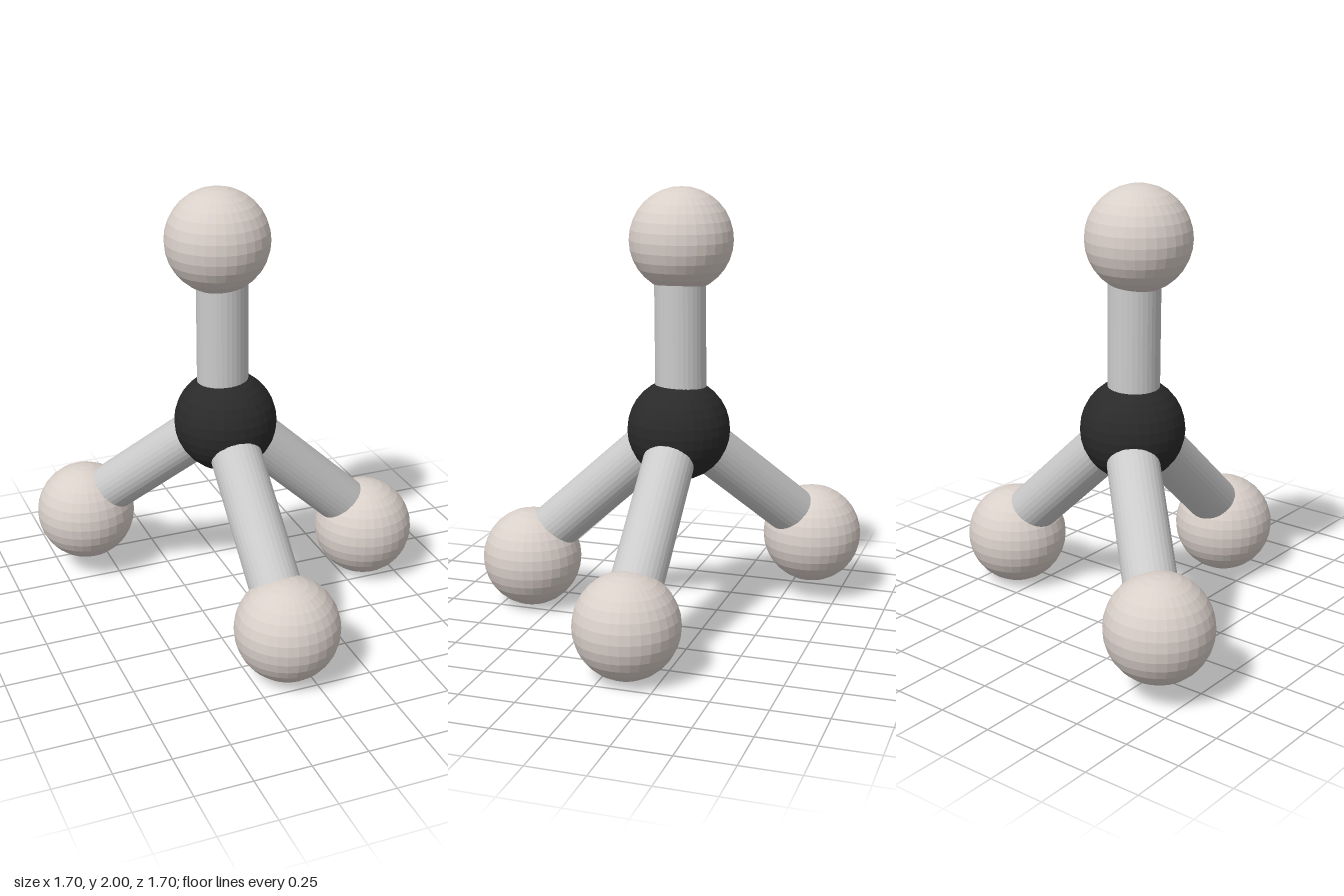
import * as THREE from 'three';

const ATOM_R = 0.232, BOND_R = 0.115;
const UP = new THREE.Vector3(0, 1, 0);

const material = (color) => new THREE.MeshStandardMaterial({ color, flatShading: true });

export function createModel() {
  const group = new THREE.Group();
  group.name = 'tetrahedralMolecule';

  const dark = material(0x2a2a2a);
  const pale = material(0xdad0ca);
  const grey = material(0xcccccc);
  const ball = new THREE.SphereGeometry(ATOM_R, 32, 16);

  const addAtom = (name, position, mat) => {
    const mesh = new THREE.Mesh(ball, mat);
    mesh.name = name;
    mesh.position.set(...position);
    group.add(mesh);
  };

  // Rod running between two points
  const addBond = (name, from, to) => {
    const a = new THREE.Vector3(...from), b = new THREE.Vector3(...to);
    const dir = b.clone().sub(a);
    const mesh = new THREE.Mesh(new THREE.CylinderGeometry(BOND_R, BOND_R, dir.length(), 32), grey);
    mesh.name = name;
    mesh.position.copy(a).add(b).multiplyScalar(0.5);
    mesh.quaternion.setFromUnitVectors(UP, dir.normalize());
    group.add(mesh);
  };

  addAtom('centralAtom', [-0.087, 0.917, -0.107], dark);

  // Outer atoms, each with its rod (rods sit slightly off the atom centres)
  const arms = [
    { name: 'top', atom: [-0.118, 1.768, -0.105], from: [-0.097, 0.93, -0.115], to: [-0.097, 1.74, -0.105] },
    { name: 'left', atom: [0.62, 0.237, -0.1], from: [-0.07, 0.935, -0.11], to: [0.643, 0.264, -0.108] },
    { name: 'front', atom: [-0.087, 0.237, 0.618], from: [-0.098, 0.935, -0.09], to: [-0.098, 0.264, 0.643] },
    { name: 'back', atom: [-0.62, 0.314, -0.618], from: [-0.075, 0.935, -0.127], to: [-0.618, 0.335, -0.635] },
  ];
  for (const { name, atom, from, to } of arms) {
    addAtom(name + 'Atom', atom, pale);
    addBond(name + 'Bond', from, to);
  }
  return group;
}
